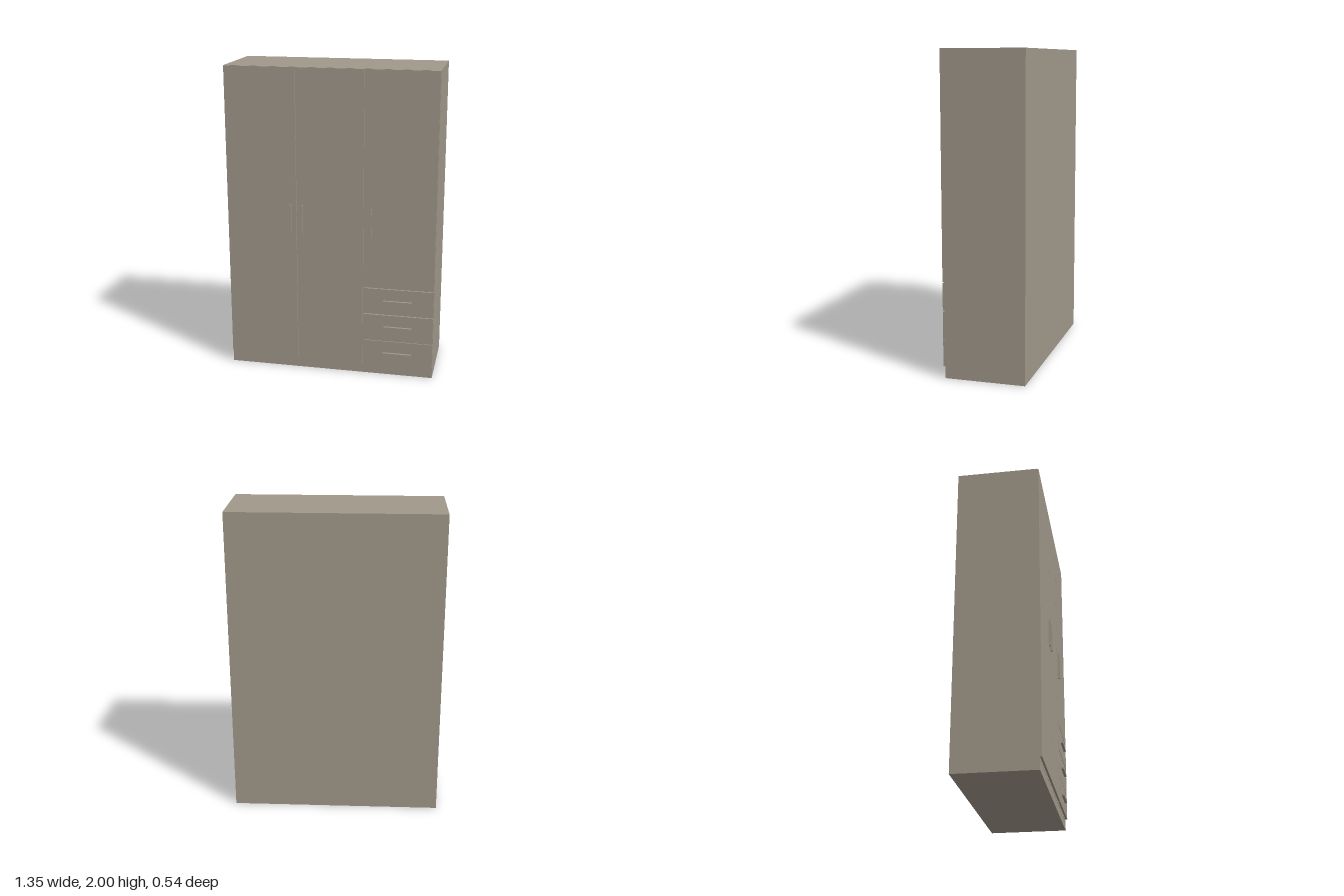
import * as THREE from 'three';

export function createModel() {
  const group = new THREE.Group();
  group.name = 'wardrobe';
  const wood = new THREE.MeshStandardMaterial({ color: 0xa1988a });
  wood.name = 'greige laminate';

  // Panel given by its limits on each axis
  function panel(name, x0, x1, y0, y1, z0, z1) {
    const mesh = new THREE.Mesh(new THREE.BoxGeometry(x1 - x0, y1 - y0, z1 - z0), wood);
    mesh.name = name;
    mesh.position.set((x0 + x1) / 2, (y0 + y1) / 2, (z0 + z1) / 2);
    group.add(mesh);
  }

  const W = 0.674, T = 0.014, BACK = -0.267, BODY = 0.241, FRONT = 0.253, GRIP = 0.268;

  // Carcass
  panel('rightSide', -W, -W + T, 0, 2, BACK, BODY);
  panel('leftSide', W - T, W, 0, 2, BACK, BODY);
  panel('top', -W + T, W - T, 2 - T, 2, BACK, BODY);
  panel('floor', -W + T, W - T, 0.06, 0.074, BACK + 0.004, BODY);
  panel('back', -W + T, W - T, 0, 2 - T, BACK, BACK + 0.006);
  panel('underside', -W + T, W - T, 0, 0.006, BACK + 0.006, BODY - T);
  panel('plinth', -W + T, W - T, 0, 0.06, BODY - T, BODY - 0.001);
  panel('partition', 0.211, 0.225, 0.074, 2 - T, BACK + 0.006, BODY - 0.012);
  panel('drawerShelf', 0.225, W - T, 0.596, 0.61, BACK + 0.006, BODY - 0.012);

  // Doors
  panel('rightDoor', -W + 0.001, -0.2195, 0.075, 1.999, BODY, FRONT);
  panel('middleDoor', -0.2165, 0.2145, 0.075, 1.999, BODY, FRONT);
  panel('leftDoor', 0.222, W - 0.001, 0.606, 1.999, BODY, FRONT);

  // Drawer fronts with horizontal handles
  [[0.075, 0.238, 0.155], [0.241, 0.42, 0.339], [0.427, 0.599, 0.518]].forEach(([y0, y1, h], i) => {
    panel(`drawerFront${i + 1}`, 0.222, W - 0.001, y0, y1, BODY, FRONT);
    panel(`drawerHandle${i + 1}`, 0.35, 0.536, h - 0.005, h + 0.005, FRONT, GRIP);
  });

  // Vertical door handles
  [-0.256, -0.18, 0.263].forEach((x, i) => {
    panel(`doorHandle${i + 1}`, x - 0.005, x + 0.005, 0.944, 1.13, FRONT, GRIP);
  });

  return group;
}
